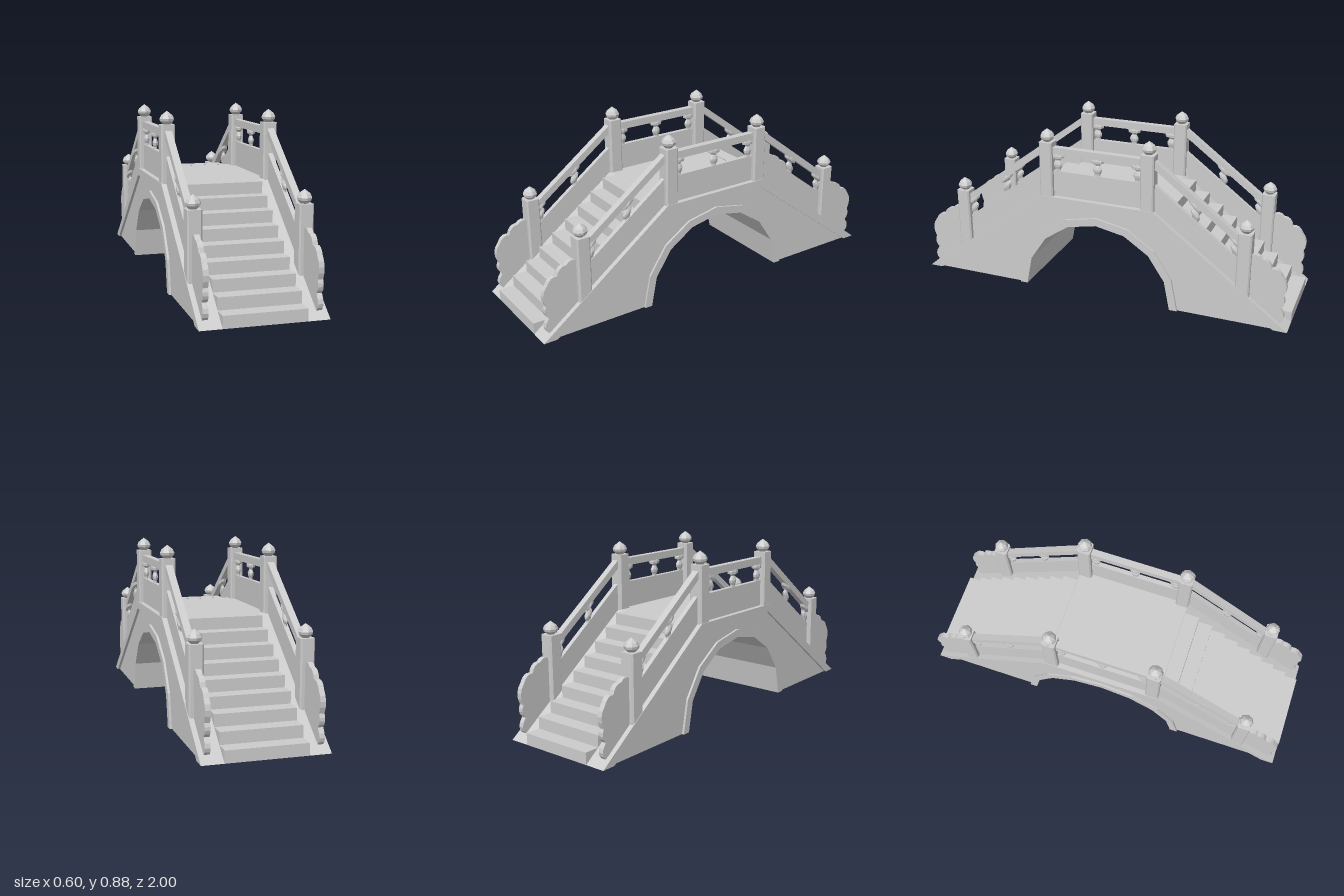
import * as THREE from 'three';

const material = new THREE.MeshStandardMaterial({ color: 0xcccccc, flatShading: true, side: THREE.DoubleSide });
const SLOPE = 0.75, DECK_Y = 0.525, DECK_Z = 0.3, RAIL_X = 0.2625;
const rampY = (z) => (1 - z) * SLOPE;

function add(parent, name, geometry, x = 0, y = 0, z = 0) {
  const mesh = new THREE.Mesh(geometry, material);
  mesh.name = name;
  mesh.position.set(x, y, z);
  parent.add(mesh);
  return mesh;
}

const shapeOf = (points) => new THREE.Shape(points.map(([z, y]) => new THREE.Vector2(z, y)));

// Extrudes a side profile drawn in (z, y) across x, centred on x = 0
function sideExtrude(shape, width) {
  const g = new THREE.ExtrudeGeometry(shape, { depth: width, bevelEnabled: false, curveSegments: 4 });
  return g.translate(0, 0, -width / 2).rotateY(-Math.PI / 2);
}

// Points of the eight-sided half arch, from +z over to -z
const arch = (r) => Array.from({ length: 9 }, (_, i) => {
  const a = (i / 8) * Math.PI;
  return [r * Math.cos(a), r * Math.sin(a)];
});

// Square post with chamfered corners
function postGeometry(height) {
  const h = 0.035, c = 0.028;
  const s = shapeOf([[h, -c], [h, c], [c, h], [-c, h], [-h, c], [-h, -c], [-c, -h], [c, -h]]);
  return new THREE.ExtrudeGeometry(s, { depth: height, bevelEnabled: false }).rotateX(-Math.PI / 2);
}

const lathe = (profile, sides) =>
  new THREE.LatheGeometry(profile.map(([r, y]) => new THREE.Vector2(r, y)), sides);

const finialGeometry = () => lathe([[0, 0], [0.018, 0], [0.034, 0.016], [0.037, 0.028],
  [0.029, 0.044], [0.014, 0.056], [0, 0.066]], 8);

// Small vase with a flared head; sheared to follow a sloping rail
function balusterGeometry(slope) {
  const g = lathe([[0.016, -0.01], [0.016, 0.01], [0.023, 0.022], [0.025, 0.034], [0.018, 0.048],
    [0.013, 0.055], [0.018, 0.062], [0.034, 0.068], [0.036, 0.08], [0.026, 0.1]], 8);
  g.scale(0.6, 1, 1);
  const p = g.attributes.position;
  for (let i = 0; i < p.count; i++) p.setY(i, p.getY(i) - slope * p.getZ(i));
  g.computeVertexNormals();
  return g;
}

// Scalloped stone closing the foot of each railing
function scrollShape() {
  const lobes = [[0.85, 0.36, 0.825, 0.39], [0.9, 0.315, 0.89, 0.36], [0.955, 0.28, 0.935, 0.325],
    [0.965, 0.175, 0.995, 0.235], [0.955, 0.11, 0.985, 0.14], [0.955, 0.03, 0.995, 0.06]];
  const s = new THREE.Shape();
  s.moveTo(0.79, rampY(0.79));
  s.lineTo(0.79, 0.365);
  for (const [z, y, cz, cy] of lobes) s.quadraticCurveTo(cz, cy, z, y);
  s.closePath();
  return s;
}

// Posts, rail, panel, balusters and scroll of one sloping side
function rampRailing() {
  const g = new THREE.Group();
  g.name = 'rampRailing';
  for (const [z, bottom, top] of [[0.765, 0.15, 0.48], [0.27, 0.49, 0.81]]) {
    add(g, 'post', postGeometry(top - bottom), RAIL_X, bottom, z);
    add(g, 'finial', finialGeometry(), RAIL_X, top, z);
  }
  const z0 = 0.29, z1 = 0.745;
  const strip = (low, high) => shapeOf([[z0, rampY(z0) + low], [z1, rampY(z1) + low],
    [z1, rampY(z1) + high], [z0, rampY(z0) + high]]);
  add(g, 'panel', sideExtrude(strip(-0.01, 0.135), 0.024), RAIL_X);
  add(g, 'handrail', sideExtrude(strip(0.218, 0.26), 0.035), RAIL_X);
  for (const z of [0.51, 0.715]) {
    add(g, 'baluster', balusterGeometry(SLOPE), RAIL_X, rampY(z) + 0.135, z);
  }
  add(g, 'scrollStone', sideExtrude(scrollShape(), 0.026), RAIL_X);
  return g;
}

export function createModel() {
  const model = new THREE.Group();
  model.name = 'archedBridge';

  // Walkway: thin skin over both ramps and the flat deck, hollow below
  add(model, 'walkway', sideExtrude(shapeOf([[1, 0], [DECK_Z, DECK_Y], [-DECK_Z, DECK_Y], [-1, 0],
    [-0.99, 0], [-0.298, 0.519], [0.298, 0.519], [0.99, 0]]), 0.598));

  // Arch vault
  add(model, 'vault', new THREE.CylinderGeometry(0.4, 0.4, 0.59, 8, 1, true, 0, Math.PI).rotateZ(Math.PI / 2));

  // Side walls with edge band and arch ring
  const wall = shapeOf([[0.98, 0], [DECK_Z, 0.51], [-DECK_Z, 0.51], [-0.98, 0], ...arch(0.4).reverse()]);
  const band = shapeOf([[1, 0], [DECK_Z, DECK_Y], [-DECK_Z, DECK_Y], [-1, 0],
    [-0.93, 0], [-0.28, 0.485], [0.28, 0.485], [0.93, 0]]);
  const ring = shapeOf([...arch(0.44), ...arch(0.4).reverse()]);
  for (const s of [-1, 1]) {
    add(model, 'sideWall', new THREE.ShapeGeometry(wall).rotateY(-Math.PI / 2), s * 0.286);
    add(model, 'edgeBand', sideExtrude(band, 0.015), s * 0.2925);
    add(model, 'archRing', sideExtrude(ring, 0.013), s * 0.291);
  }

  // Stairs: sawtooth of nine risers, resting on the ramp
  const steps = 9, rise = DECK_Y / steps, run = 0.0775;
  const saw = [[1, 0]];
  for (let i = 0; i < steps; i++) {
    saw.push([1 - i * run, (i + 1) * rise], [1 - (i + 1) * run, (i + 1) * rise]);
  }
  const halves = [0, 1].map((i) => {
    const half = new THREE.Group();
    half.name = i ? 'backHalf' : 'frontHalf';
    half.rotation.y = i * Math.PI;
    add(half, 'stairs', sideExtrude(shapeOf(saw), 0.39));
    const left = rampRailing();
    const right = rampRailing();
    right.position.x = -2 * RAIL_X;
    half.add(left, right);
    return half;
  });
  model.add(...halves);

  // Level railings over the deck
  for (const s of [-1, 1]) {
    const x = s * RAIL_X;
    add(model, 'deckPanel', new THREE.BoxGeometry(0.024, 0.14, 0.5), x, 0.59, 0);
    add(model, 'deckHandrail', new THREE.BoxGeometry(0.035, 0.038, 0.5), x, 0.766, 0);
    for (const z of [-0.215, 0, 0.215]) add(model, 'deckBaluster', balusterGeometry(0), x, 0.66, z);
  }
  return model;
}
